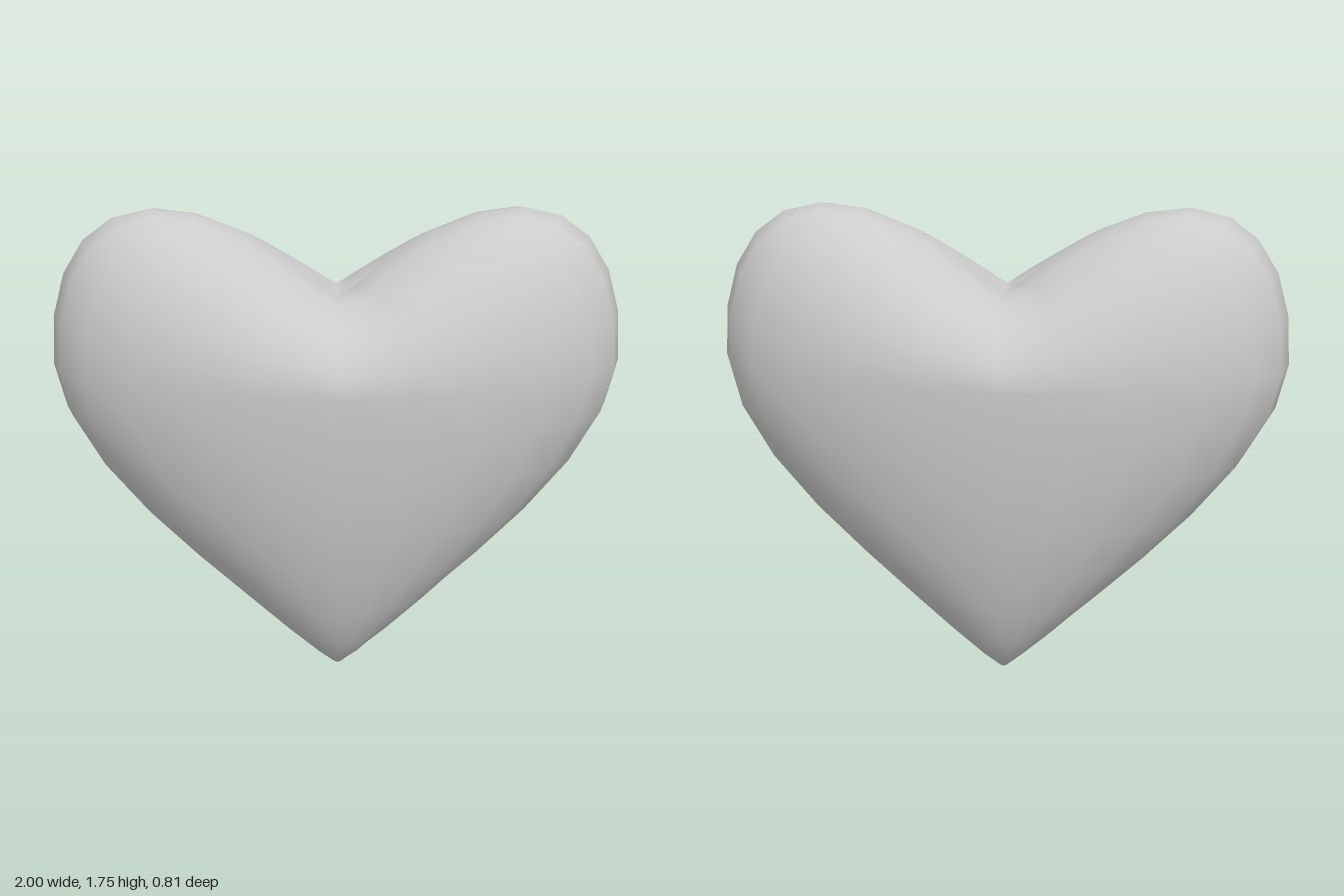
import * as THREE from 'three';
import { mergeVertices } from 'three/addons/utils/BufferGeometryUtils.js';

const MIDDLE = 1.2; // height of the widest ring
const DEPTH = 0.405; // half thickness

// Maps a point of the unit sphere onto the heart
function toHeart(p) {
  const { x, y, z } = p;
  const ax = Math.abs(x);
  if (y >= 0) {
    // Upper half: height grows with distance from the middle, making two lobes
    const lift = (0.262 + 0.71 * ax + 0.05 * ax ** 8) * (1 - 0.13 * z * z);
    const pit = Math.hypot(x, z) < 0.01 ? 0.035 : 0; // dimple between the lobes
    const bulge = 1 + 0.03 * y * (1 - y);
    p.set(x * bulge, MIDDLE + y * lift - pit, z * DEPTH);
  } else {
    // Lower half: width narrows to a point while the depth stays rounded
    const t = Math.min(1, -y);
    const width = 1 - 0.77 * t ** 2 - 0.13 * t ** 20;
    p.set(x * width, MIDDLE * (1 - t ** 1.15), z * DEPTH);
  }
  return p;
}

export function createModel() {
  const group = new THREE.Group();
  group.name = 'heart';

  // Weld the sphere's seam and poles so the shading is continuous
  let geometry = new THREE.SphereGeometry(1, 24, 18);
  geometry.deleteAttribute('uv');
  geometry.deleteAttribute('normal');
  geometry = mergeVertices(geometry, 1e-4);

  const pos = geometry.attributes.position;
  const p = new THREE.Vector3();
  for (let i = 0; i < pos.count; i++) {
    p.fromBufferAttribute(pos, i);
    if (Math.abs(p.y) < 1e-6) p.y = 0;
    toHeart(p);
    pos.setXYZ(i, p.x, p.y, p.z);
  }
  geometry.computeVertexNormals();

  const body = new THREE.Mesh(geometry, new THREE.MeshStandardMaterial({ color: 0xcccccc }));
  body.name = 'heartBody';
  group.add(body);
  return group;
}
